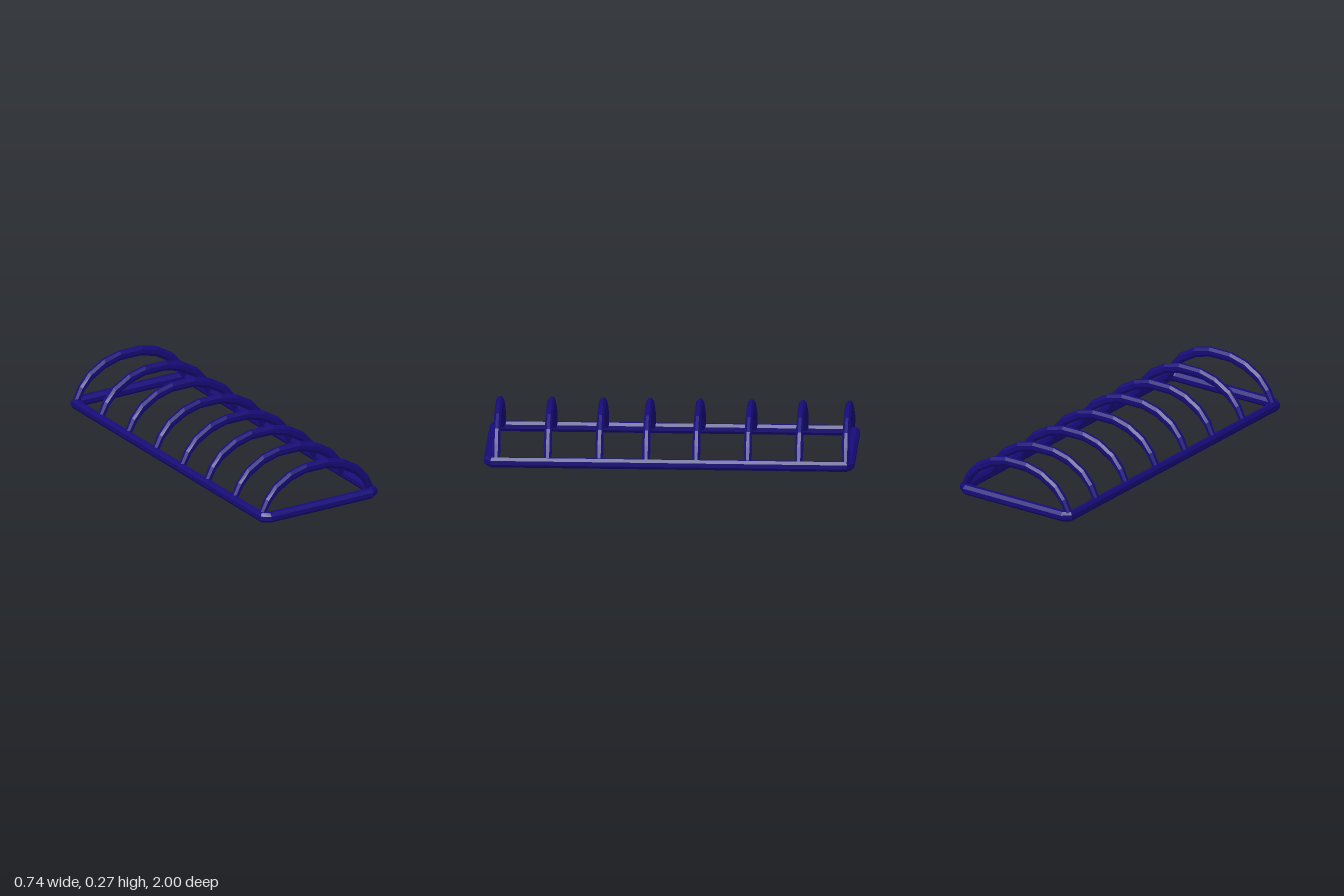
import * as THREE from 'three';

const SIDES = 8;
const material = new THREE.MeshStandardMaterial({ color: 0x170b78, flatShading: true });

// Bar swept through sections { outer, inner, half }: each spans outer to inner
// in the bending plane and is `half` thick to either side along `normal`.
function sweepBar(sections, normal, closed) {
  const positions = [], index = [];
  const stretch = 1 / Math.cos(Math.PI / SIDES);
  for (const { outer, inner, half } of sections) {
    const centre = outer.clone().add(inner).multiplyScalar(0.5);
    const across = outer.clone().sub(inner).multiplyScalar(0.5 * stretch);
    for (let j = 0; j < SIDES; j++) {
      const a = ((j + 0.5) / SIDES) * Math.PI * 2;
      const p = centre.clone()
        .addScaledVector(across, Math.cos(a))
        .addScaledVector(normal, Math.sin(a) * half * stretch);
      positions.push(p.x, p.y, p.z);
    }
  }
  const n = sections.length;
  for (let k = 0; k < (closed ? n : n - 1); k++) {
    const a = k * SIDES, b = ((k + 1) % n) * SIDES;
    for (let j = 0; j < SIDES; j++) {
      const j2 = (j + 1) % SIDES;
      index.push(a + j, a + j2, b + j2, a + j, b + j2, b + j);
    }
  }
  // End caps
  if (!closed) {
    const e = (n - 1) * SIDES;
    for (let j = 1; j < SIDES - 1; j++) {
      index.push(0, j + 1, j, e, e + j, e + j + 1);
    }
  }
  const geometry = new THREE.BufferGeometry();
  geometry.setAttribute('position', new THREE.Float32BufferAttribute(positions, 3));
  geometry.setIndex(index);
  geometry.computeVertexNormals();
  return geometry;
}

// Rectangular ground frame with bevelled corners
function frameGeometry() {
  const half = 0.0275, y = half;
  const side = (sx, sz) => ({
    outer: new THREE.Vector3(0.371 * sx, y, 0.963 * sz),
    inner: new THREE.Vector3(0.335 * sx, y, 0.942 * sz), half,
  });
  const end = (sx, sz) => ({
    outer: new THREE.Vector3(0.325 * sx, y, 1.0 * sz),
    inner: new THREE.Vector3(0.315 * sx, y, 0.942 * sz), half,
  });
  return sweepBar([
    side(1, 1), end(1, 1), end(-1, 1), side(-1, 1),
    side(-1, -1), end(-1, -1), end(1, -1), side(1, -1),
  ], new THREE.Vector3(0, 1, 0), true);
}

// Faceted arch spanning the frame
function archGeometry() {
  // outer x, outer y, inner x, inner y, half thickness, from foot to crown
  const profile = [
    [0.368, 0.030, 0.332, 0.025, 0.019],
    [0.325, 0.123, 0.293, 0.096, 0.023],
    [0.267, 0.191, 0.247, 0.143, 0.020],
    [0.170, 0.247, 0.160, 0.194, 0.019],
    [0.069, 0.272, 0.067, 0.220, 0.019],
  ];
  const section = (s) => ([ox, oy, ix, iy, half]) => ({
    outer: new THREE.Vector3(ox * s, oy, 0),
    inner: new THREE.Vector3(ix * s, iy, 0), half,
  });
  const sections = [...profile.map(section(-1)), ...profile.map(section(1)).reverse()];
  return sweepBar(sections, new THREE.Vector3(0, 0, 1), false);
}

export function createModel() {
  const group = new THREE.Group();
  group.name = 'archedRack';

  const frame = new THREE.Mesh(frameGeometry(), material);
  frame.name = 'baseFrame';
  group.add(frame);

  // Row of arches
  const arch = archGeometry();
  [0.933, 0.655, 0.377, 0.124, -0.146, -0.424, -0.7, -0.952].forEach((z, i) => {
    const mesh = new THREE.Mesh(arch, material);
    mesh.name = `arch${i + 1}`;
    mesh.position.z = z;
    group.add(mesh);
  });
  return group;
}
